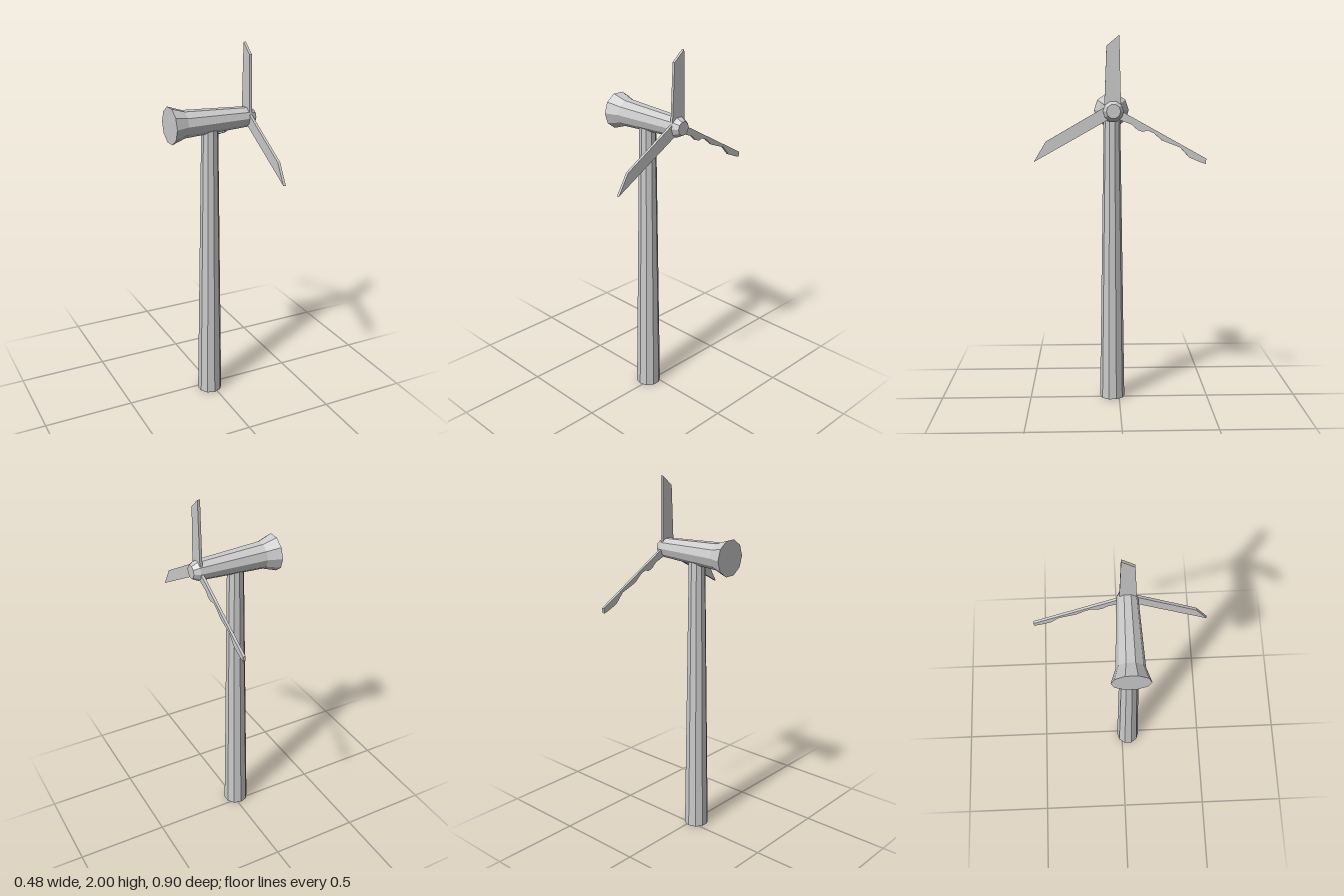
import * as THREE from 'three';

const SIDES = 10;
const HUB_Y = 1.613, AXIS_Z = 0.036;

export function createModel() {
  const model = new THREE.Group();
  model.name = 'windTurbine';
  const material = new THREE.MeshStandardMaterial({ color: 0xcccccc, flatShading: true });

  const add = (name, geometry, x = 0, y = 0, z = 0) => {
    const mesh = new THREE.Mesh(geometry, material);
    mesh.name = name;
    mesh.position.set(x, y, z);
    model.add(mesh);
    return mesh;
  };

  // Tapered ten-sided tower, its top sunk into the nacelle
  const towerHeight = 1.58;
  add('tower', new THREE.CylinderGeometry(0.045, 0.069, towerHeight, SIDES), -0.017, towerHeight / 2, 0.038);

  // Nacelle turned around the x axis: flared tail, long body, short nose
  const profile = [
    [0, -0.243], [0.099, -0.243], [0.073, -0.167], [0.054, 0.207], [0.037, 0.24], [0, 0.24],
  ].map(([r, x]) => new THREE.Vector2(r, x));
  const nacelle = new THREE.LatheGeometry(profile, SIDES);
  nacelle.rotateZ(-Math.PI / 2);
  add('nacelle', nacelle, 0, HUB_Y, AXIS_Z);

  // Flat blades, outlined as [-z, y]; the last one has a broken lower edge
  const blades = {
    upperBlade: [[-0.083, 1.62], [-0.071, 1.945], [-0.005, 2], [0.004, 1.62]],
    frontBlade: [[-0.05, 1.652], [-0.387, 1.458], [-0.451, 1.352], [-0.05, 1.577]],
    brokenBlade: [
      [-0.01, 1.623], [0.45, 1.368], [0.447, 1.341], [0.425, 1.347], [0.36, 1.374], [0.313, 1.426],
      [0.217, 1.463], [0.175, 1.5], [0.143, 1.515], [0.117, 1.508], [0.09, 1.517], [0.06, 1.545],
      [0, 1.568], [-0.03, 1.585],
    ],
  };
  for (const [name, outline] of Object.entries(blades)) {
    const shape = new THREE.Shape(outline.map(([s, y]) => new THREE.Vector2(s, y)));
    const blade = new THREE.ExtrudeGeometry(shape, { depth: 0.014, bevelEnabled: false });
    blade.rotateY(Math.PI / 2);
    add(name, blade, 0.193);
  }

  return model;
}
